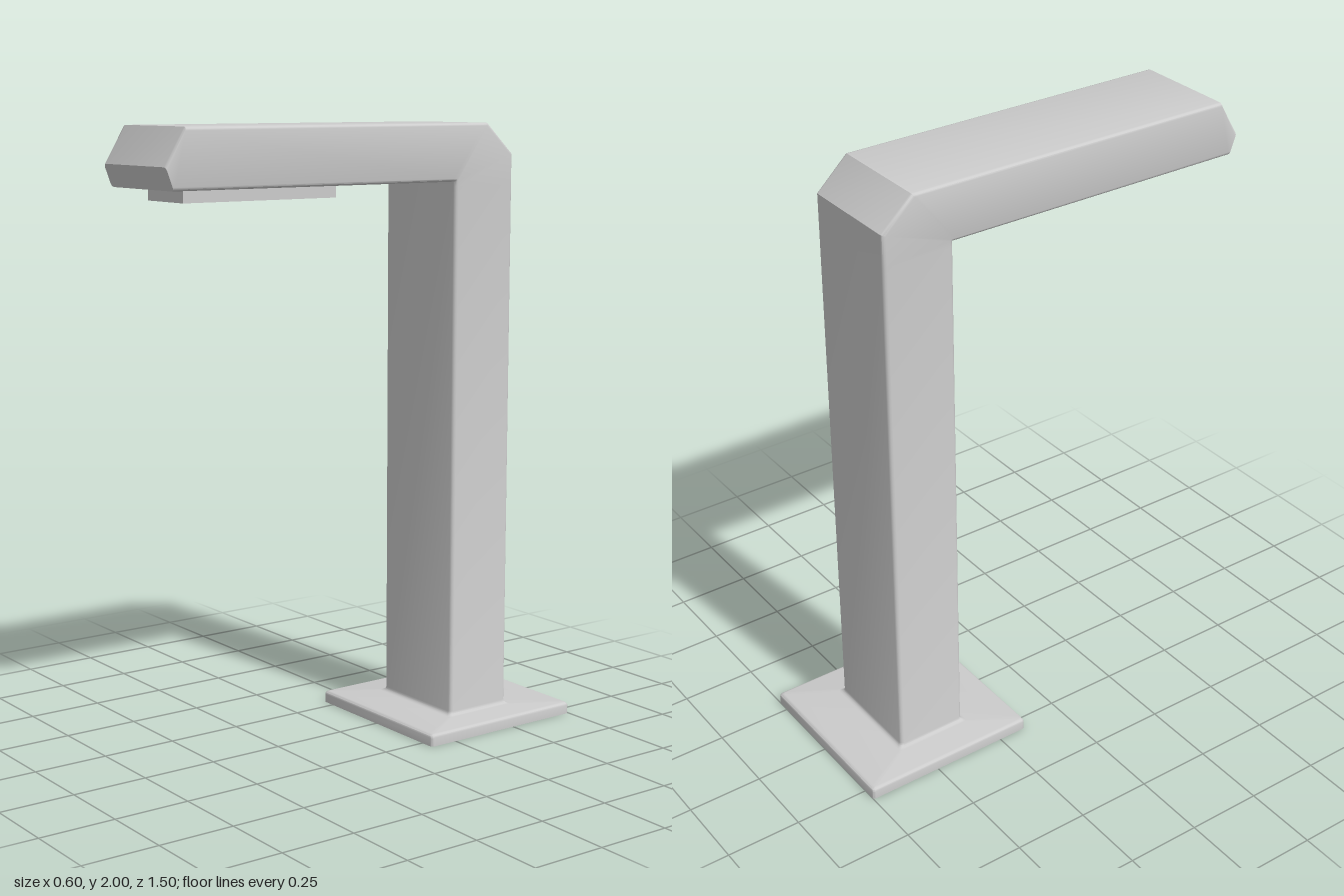
import * as THREE from 'three';
import { toCreasedNormals } from 'three/addons/utils/BufferGeometryUtils.js';

const STEPS = 3; // segments per rounded corner

// Rounded rectangle of half width w, spanning from an inner to an outer point (z, y)
function section(w, [z0, y0], [z1, y1], r) {
  const length = Math.hypot(z1 - z0, y1 - y0);
  const points = [];
  for (let corner = 0; corner < 4; corner++) {
    const cu = (w - r) * (corner === 0 || corner === 3 ? 1 : -1);
    const cv = corner < 2 ? length - r : r;
    for (let i = 0; i <= STEPS; i++) {
      const a = (corner + i / STEPS) * Math.PI / 2;
      const t = (cv + r * Math.sin(a)) / length;
      points.push(new THREE.Vector3(cu + r * Math.cos(a), y0 + (y1 - y0) * t, z0 + (z1 - z0) * t));
    }
  }
  return points;
}

// Skin between successive sections, open at the start and capped at the end
function loft(rings) {
  const positions = [];
  const tri = (a, b, c) => {
    const area = new THREE.Triangle(a, b, c).getArea();
    if (area > 1e-8) positions.push(...a, ...b, ...c);
  };
  const n = rings[0].length;
  for (let i = 0; i < rings.length - 1; i++) {
    for (let j = 0; j < n; j++) {
      const k = (j + 1) % n;
      tri(rings[i][j], rings[i][k], rings[i + 1][k]);
      tri(rings[i][j], rings[i + 1][k], rings[i + 1][j]);
    }
  }
  const last = rings[rings.length - 1];
  const centre = last.reduce((s, p) => s.add(p), new THREE.Vector3()).divideScalar(n);
  for (let j = 0; j < n; j++) tri(centre, last[j], last[(j + 1) % n]);
  const geometry = new THREE.BufferGeometry();
  geometry.setAttribute('position', new THREE.Float32BufferAttribute(positions, 3));
  return toCreasedNormals(geometry, 0.6);
}

export function createModel() {
  const group = new THREE.Group();
  const shellMaterial = new THREE.MeshStandardMaterial({ color: 0xcccccc, side: THREE.DoubleSide });
  const rings = [];

  // Base plate: hollow underneath, with a softly rounded top edge
  const plate = (half, y) => rings.push(section(half, [-0.45 + half, y], [-0.45 - half, y], 0.01));
  plate(0.3, 0);
  plate(0.3, 0.028);
  for (let i = 1; i <= 3; i++) {
    const a = i / 3 * Math.PI / 2;
    plate(0.288 + 0.012 * Math.cos(a), 0.028 + 0.012 * Math.sin(a));
  }

  // Small fillet where the column meets the plate
  for (let i = 0; i <= 3; i++) {
    const a = i / 3 * Math.PI / 2;
    const flare = 0.014 * (1 - Math.sin(a));
    const y = 0.04 + 0.014 * (1 - Math.cos(a));
    rings.push(section(0.18 + flare, [-0.325 + flare, y], [-0.565 - flare, y], 0.012));
  }

  // Column, chamfered bend, arm and bevelled tip: inner and outer points as (z, y)
  const path = [
    [[-0.325, 1.8], [-0.565, 1.8]],
    [[-0.325, 1.815], [-0.565, 1.9]],
    [[-0.325, 1.815], [-0.46, 2]],
    [[-0.31, 1.815], [-0.45, 2]],
    [[0.722, 1.815], [0.68, 2]],
    [[0.724, 1.815], [0.75, 1.885]],
  ];
  for (const [inner, outer] of path) rings.push(section(0.18, inner, outer, 0.012));

  const body = new THREE.Mesh(loft(rings), shellMaterial);
  body.name = 'spoutBody';
  group.add(body);

  // Flat outlet under the arm
  const outlet = new THREE.Mesh(
    new THREE.BoxGeometry(0.2, 0.045, 0.555),
    new THREE.MeshStandardMaterial({ color: 0xcccccc })
  );
  outlet.name = 'outlet';
  outlet.position.set(0, 1.7975, 0.3675);
  group.add(outlet);

  return group;
}
